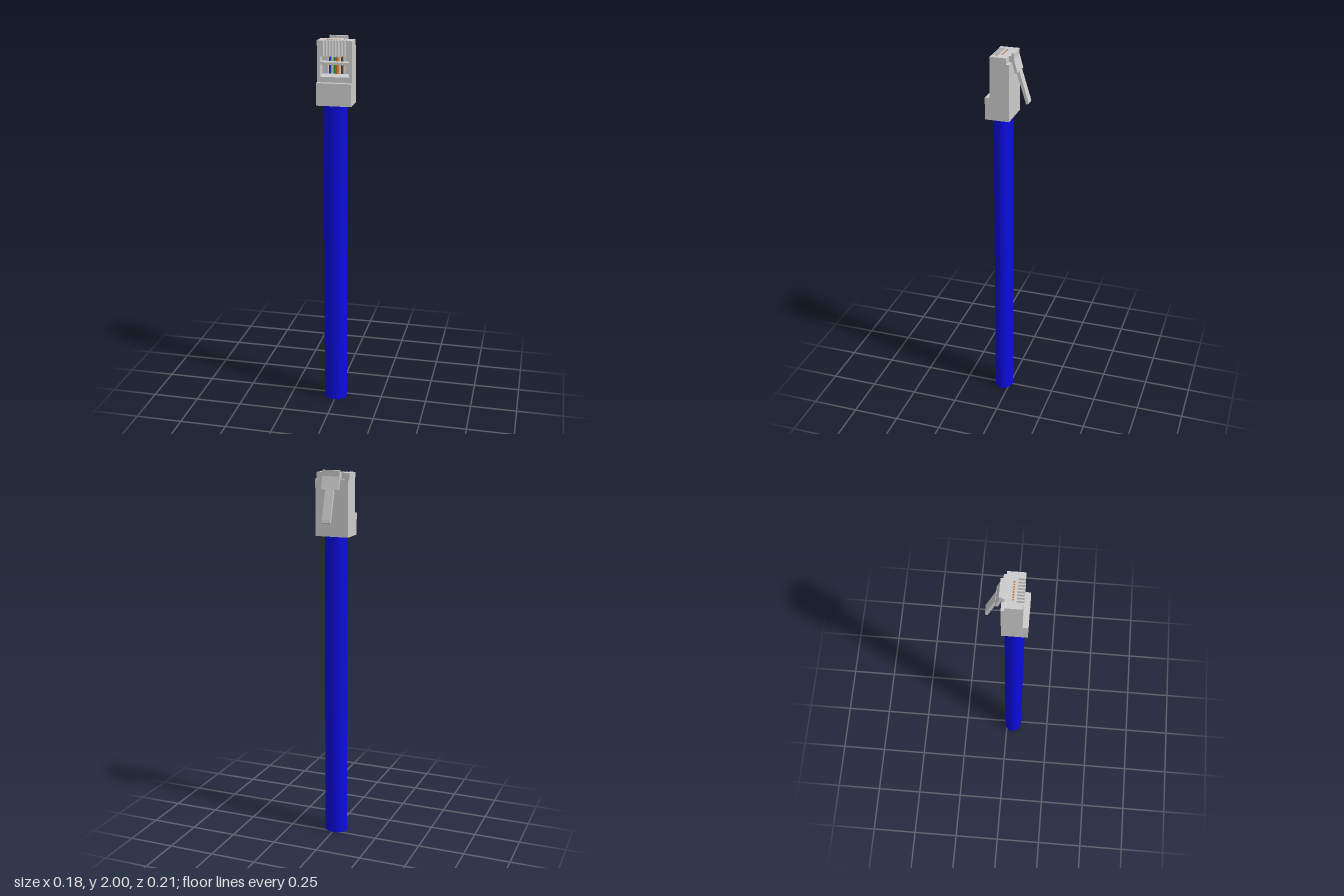
import * as THREE from 'three';
import { toCreasedNormals } from 'three/addons/utils/BufferGeometryUtils.js';

const mat = (color) => new THREE.MeshStandardMaterial({ color });
const grey = mat(0xcccccc);

function add(group, name, geometry, material = grey) {
  const mesh = new THREE.Mesh(geometry, material);
  mesh.name = name;
  group.add(mesh);
  return mesh;
}

// Horizontal slab: outline given as [x, z], standing from y0 to y1
function slab(points, y0, y1) {
  const shape = new THREE.Shape(points.map(([x, z]) => new THREE.Vector2(x, -z)));
  const g = new THREE.ExtrudeGeometry(shape, { depth: y1 - y0, bevelEnabled: false });
  return g.rotateX(-Math.PI / 2).translate(0, y0, 0);
}

// Side profile given as [z, y], centred across x
function profile(points, width) {
  const shape = new THREE.Shape(points.map(([z, y]) => new THREE.Vector2(z, y)));
  const g = new THREE.ExtrudeGeometry(shape, { depth: width, bevelEnabled: false });
  return g.translate(0, 0, -width / 2).rotateY(-Math.PI / 2);
}

const W = 0.09, BACK = -0.023, FRONT = 0.077, STEP = -0.008, TONGUE = 0.047;
const rect = (z0, z1) => [[-W, z0], [W, z0], [W, z1], [-W, z1]];
const plainBack = [[-W, BACK], [W, BACK]];
const steppedBack = [[-W, STEP], [-TONGUE, STEP], [-TONGUE, BACK], [TONGUE, BACK], [TONGUE, STEP], [W, STEP]];

// Front edge with one wide recess
function recessed(back, halfWidth, depthZ) {
  return [...back, [W, FRONT], [halfWidth, FRONT], [halfWidth, depthZ],
    [-halfWidth, depthZ], [-halfWidth, FRONT], [-W, FRONT]];
}

// Front edge with eight contact slots
function slotted(back, depthZ) {
  const pts = [...back, [W, FRONT]];
  for (let i = 7; i >= 0; i--) {
    const x = (i - 3.5) * 0.0155, h = 0.004;
    pts.push([x + h, FRONT], [x + h, depthZ], [x - h, depthZ], [x - h, FRONT]);
  }
  pts.push([-W, FRONT]);
  return pts;
}

export function createModel() {
  const model = new THREE.Group();
  model.name = 'networkCable';

  // Plug housing, stacked from the bottom up
  const plug = new THREE.Group();
  plug.name = 'plug';
  model.add(plug);
  add(plug, 'strainCollar', slab(rect(BACK, 0.103), 1.662, 1.777));
  add(plug, 'housingBase', slab(rect(BACK, FRONT), 1.777, 1.805));
  add(plug, 'lowerWindow', slab(recessed(plainBack, 0.074, 0.028), 1.805, 1.866));
  add(plug, 'crossBar', slab(rect(BACK, FRONT), 1.866, 1.878));
  add(plug, 'upperWindow', slab(recessed(plainBack, 0.074, 0.028), 1.878, 1.905));
  add(plug, 'contactSlots', slab(slotted(plainBack, 0.03), 1.905, 1.955));
  add(plug, 'contactSlotsUpper', slab(slotted(steppedBack, 0.03), 1.955, 1.975));
  add(plug, 'contactSlotsTop', slab(slotted(steppedBack, 0.045), 1.975, 1.986));

  // Sloping ledge under the lower window
  add(plug, 'windowSill', profile([[0.034, 1.805], [FRONT, 1.805], [0.034, 1.815]], 0.148));

  // Release latch: wide root with upright lip, then narrow lever
  const latch = new THREE.Group();
  latch.name = 'latch';
  plug.add(latch);
  add(latch, 'latchRoot', profile([[-0.021, 2], [-0.021, 1.965], [-0.039, 1.899],
    [-0.053, 1.903], [-0.034, 1.97], [-0.034, 2]], 0.094));
  add(latch, 'latchLever', profile([[-0.037, 1.908], [-0.09, 1.738], [-0.103, 1.743],
    [-0.1, 1.757], [-0.052, 1.912]], 0.046));

  // Hollow oval jacket
  const jacket = new THREE.Shape();
  jacket.absellipse(0, 0, 0.062, 0.049, 0, Math.PI * 2, false);
  const bore = new THREE.Path();
  bore.absellipse(0, 0, 0.053, 0.04, 0, Math.PI * 2, true);
  jacket.holes.push(bore);
  const tube = new THREE.ExtrudeGeometry(jacket, { depth: 1.664, bevelEnabled: false, curveSegments: 32 });
  tube.rotateX(-Math.PI / 2).translate(-0.003, 0, 0.036);
  add(model, 'jacket', toCreasedNormals(tube, 0.6), mat(0x0b0be0));

  // Eight insulated wires with copper cores showing at both ends
  const colors = [0xdddddd, 0x2233cc, 0xdddddd, 0x18a030, 0xe07818, 0xdddddd, 0x6b3a1a, 0xdddddd];
  const copper = mat(0xc87533);
  const wires = new THREE.Group();
  wires.name = 'wires';
  model.add(wires);
  colors.forEach((color, i) => {
    const x = -0.003 + (i - 3.5) * 0.0124;
    const wire = new THREE.CylinderGeometry(0.006, 0.006, 1.978, 16);
    add(wires, 'wireInsulation', wire.translate(x, 0.991, 0.028), mat(color));
    const core = new THREE.CylinderGeometry(0.0043, 0.0043, 1.986, 16);
    add(wires, 'wireCore', core.translate(x, 0.994, 0.028), copper);
  });

  return model;
}
